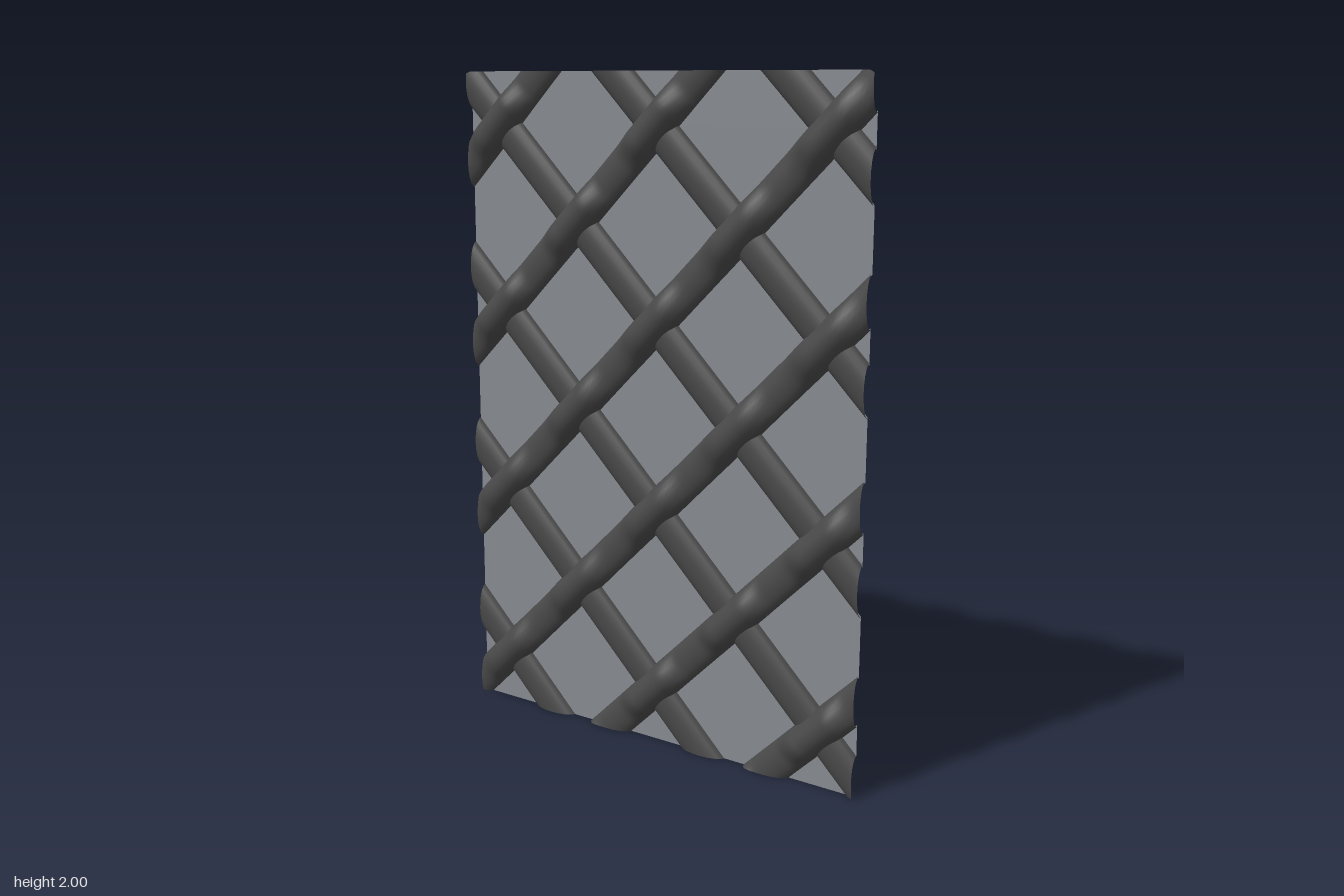
import * as THREE from 'three';

const W = 0.68, H = 2;            // half width and height of the panel
const STEP = 0.56, FIRST = -0.39; // spacing of the diagonals, measured on the y axis
const BARS = 6;
const HALF = 0.054;               // half width of a lead strip
const BACK = -0.03;               // plane of the open back

const clamp = THREE.MathUtils.clamp;

// Height of the upper strip: it rises where it passes over a crossing strip
function overHeight(d) {
  const k = Math.round((d - FIRST) / STEP);
  const dx = Math.abs(d - (FIRST + k * STEP)) / 2;
  return 0.03 + 0.03 * (1 - THREE.MathUtils.smoothstep(dx, 0.045, 0.105));
}

// Half-round strip, open at the back, trimmed to the panel; dir 1 rises to the right, -1 to the left
function stripGeometry(c, dir, height) {
  const around = 10, along = 110, pos = [], idx = [];
  for (let i = 0; i <= around; i++) {
    const a = Math.PI * i / around;
    const off = c + Math.SQRT2 * HALF * Math.cos(a);
    const lo = Math.max(-W, -off), hi = Math.min(W, H - off);
    for (let j = 0; j <= along; j++) {
      const x = lo + (hi - lo) * j / along;
      const y = clamp(x + off, 0, H);
      pos.push(dir * x, y, BACK + height(x + y) * Math.sin(a));
      if (i < around && j < along) {
        const p = i * (along + 1) + j, q = p + along + 1;
        if (dir > 0) idx.push(p, q, p + 1, q, q + 1, p + 1);
        else idx.push(p, p + 1, q, q, p + 1, q + 1);
      }
    }
  }
  const g = new THREE.BufferGeometry();
  g.setAttribute('position', new THREE.Float32BufferAttribute(pos, 3));
  g.setIndex(idx);
  g.computeVertexNormals();
  return g;
}

// Cuts a polygon by the half plane where f(point) >= 0
function cut(points, f) {
  const out = [];
  points.forEach((p, i) => {
    const q = points[(i + 1) % points.length];
    const a = f(p), b = f(q);
    if (a >= 0) out.push(p);
    if ((a >= 0) !== (b >= 0)) out.push(p.clone().lerp(q, a / (a - b)));
  });
  return out;
}

export function createModel() {
  const model = new THREE.Group();
  model.name = 'latticeWindow';
  const lead = new THREE.MeshStandardMaterial({ color: 0x484848, side: THREE.DoubleSide });
  lead.name = 'dark lead';
  const glass = new THREE.MeshStandardMaterial({ color: 0x868a8f, side: THREE.DoubleSide });
  glass.name = 'grey glass';

  const add = (name, geometry, material) => {
    const mesh = new THREE.Mesh(geometry, material);
    mesh.name = name;
    model.add(mesh);
    return mesh;
  };

  // Two families of diagonal strips, one passing over the other
  for (let k = 0; k < BARS; k++) {
    const c = FIRST + k * STEP;
    add('overStrip', stripGeometry(c, 1, overHeight), lead);
    add('underStrip', stripGeometry(c, -1, () => 0.03), lead);
  }

  // Diamond panes, trimmed at the panel edges
  const r = STEP / 2 - Math.SQRT2 * HALF + 0.006;
  for (let i = -1; i < BARS; i++) {
    for (let j = -1; j < BARS; j++) {
      const c = FIRST + (i + 0.5) * STEP, d = FIRST + (j + 0.5) * STEP;
      const x = (d - c) / 2, y = (c + d) / 2;
      let pts = [[r, 0], [0, r], [-r, 0], [0, -r]].map(([u, v]) => new THREE.Vector2(x + u, y + v));
      const sides = [p => W - p.x, p => W + p.x, p => p.y, p => H - p.y];
      for (const f of sides) pts = cut(pts, f);
      if (pts.length < 3) continue;
      add('pane', new THREE.ShapeGeometry(new THREE.Shape(pts)), glass).position.z = BACK + 0.002;
    }
  }
  return model;
}
